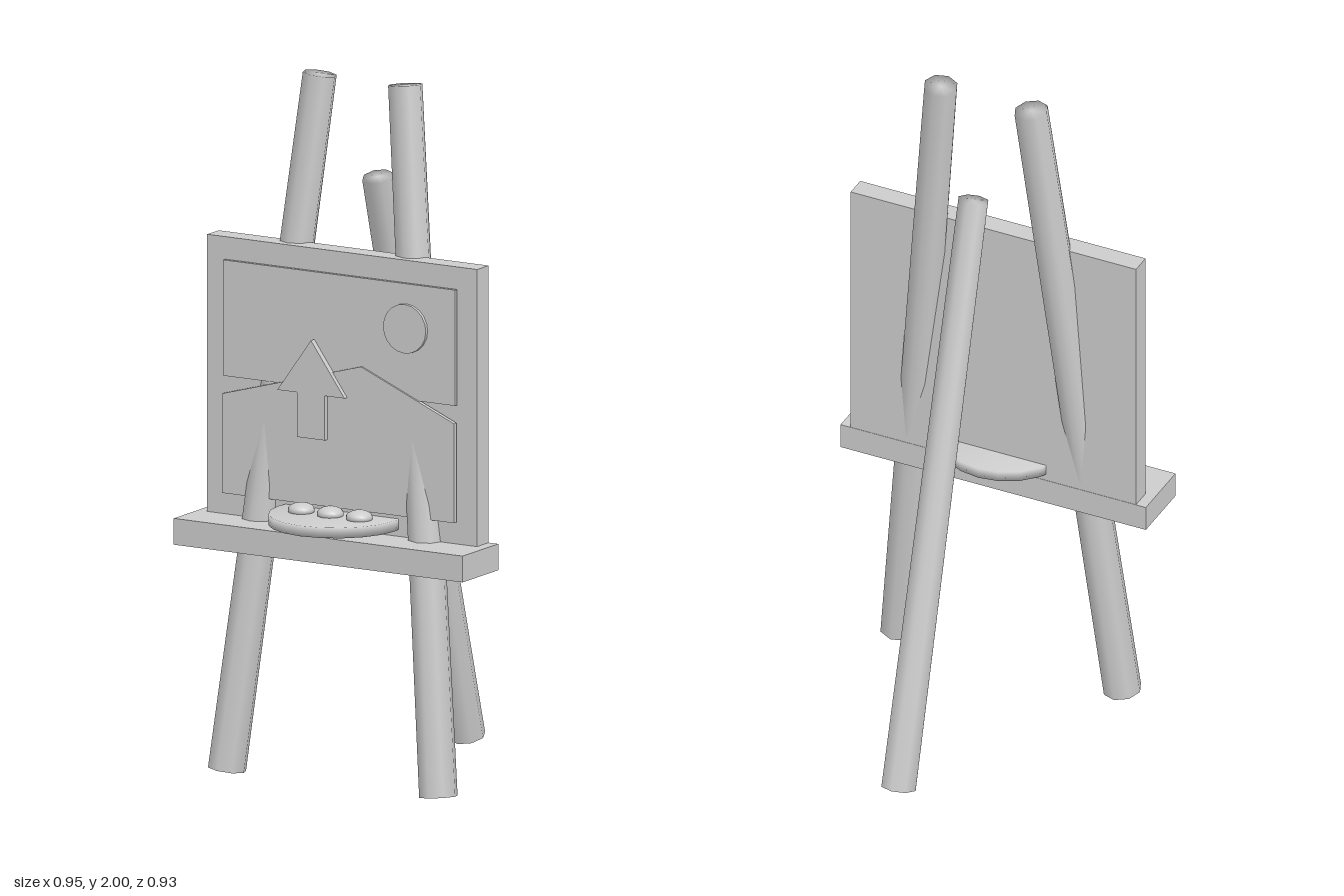
import * as THREE from 'three';
import { mergeVertices } from 'three/addons/utils/BufferGeometryUtils.js';

const grey = new THREE.MeshStandardMaterial({ color: 0xcccccc });
grey.name = 'light grey';

// Shares vertices so that shading flows over the end caps
function smooth(geometry) {
  geometry.deleteAttribute('normal');
  geometry.deleteAttribute('uv');
  const merged = mergeVertices(geometry, 1e-4);
  merged.computeVertexNormals();
  return merged;
}

function add(parent, name, geometry, x = 0, y = 0, z = 0) {
  const mesh = new THREE.Mesh(geometry, grey);
  mesh.name = name;
  mesh.position.set(x, y, z);
  parent.add(mesh);
  return mesh;
}

// Tapered eight-sided pole between two points
function pole(parent, name, bottom, top, rBottom, rTop) {
  const a = new THREE.Vector3(...bottom);
  const b = new THREE.Vector3(...top);
  const dir = b.clone().sub(a);
  const mid = a.clone().add(b).multiplyScalar(0.5);
  const geometry = smooth(new THREE.CylinderGeometry(rTop, rBottom, dir.length(), 8));
  const mesh = add(parent, name, geometry, mid.x, mid.y, mid.z);
  mesh.quaternion.setFromUnitVectors(new THREE.Vector3(0, 1, 0), dir.normalize());
}

// Box given by its limits
function box(parent, name, x0, x1, y0, y1, z0, z1) {
  add(parent, name, new THREE.BoxGeometry(x1 - x0, y1 - y0, z1 - z0),
    (x0 + x1) / 2, (y0 + y1) / 2, (z0 + z1) / 2);
}

// Flat cut-out standing between two depths
function cutout(parent, name, points, z0, z1) {
  const shape = new THREE.Shape(points.map(([x, y]) => new THREE.Vector2(x, y)));
  add(parent, name, new THREE.ExtrudeGeometry(shape, { depth: z1 - z0, bevelEnabled: false }), 0, 0, z0);
}

export function createModel() {
  const easel = new THREE.Group();
  easel.name = 'easel';

  // Legs
  for (const [side, s] of [['left', 1], ['right', -1]]) {
    pole(easel, side + 'FrontLeg', [s * 0.346, 0.016, 0.296], [s * 0.14, 1.993, 0.138], 0.055, 0.049);
  }
  pole(easel, 'backLeg', [0, 0.018, -0.417], [0, 1.7, 0.057], 0.052, 0.045);

  // Board and its shelf
  box(easel, 'canvas', -0.442, 0.442, 0.7, 1.52, 0.185, 0.246);
  box(easel, 'ledge', -0.473, 0.473, 0.655, 0.73, 0.184, 0.373);

  // Picture in shallow layers
  const picture = new THREE.Group();
  picture.name = 'picture';
  easel.add(picture);
  box(picture, 'sky', -0.38, 0.38, 1.127, 1.457, 0.251, 0.262);
  cutout(picture, 'hills', [[-0.38, 0.794], [0.38, 0.794], [0.38, 1.077], [0.075, 1.205], [-0.38, 1.077]], 0.255, 0.268);
  const sun = add(picture, 'sun', new THREE.CylinderGeometry(0.07, 0.07, 0.012, 20), 0.22, 1.33, 0.266);
  sun.rotation.x = Math.PI / 2;
  box(picture, 'treeTrunk', -0.125, -0.035, 0.985, 1.115, 0.264, 0.282);
  cutout(picture, 'treeCrown', [[-0.19, 1.112], [0.03, 1.112], [-0.08, 1.265]], 0.264, 0.282);

  // Palette with three dabs of paint
  add(easel, 'palette', smooth(new THREE.CylinderGeometry(0.19, 0.19, 0.03, 20)), 0, 0.765, 0.277);
  for (const x of [-0.095, 0, 0.095]) {
    const dab = add(easel, 'paintDab', new THREE.SphereGeometry(0.038, 16, 10), x, 0.786, 0.309);
    dab.scale.y = 0.55;
  }
  return easel;
}
